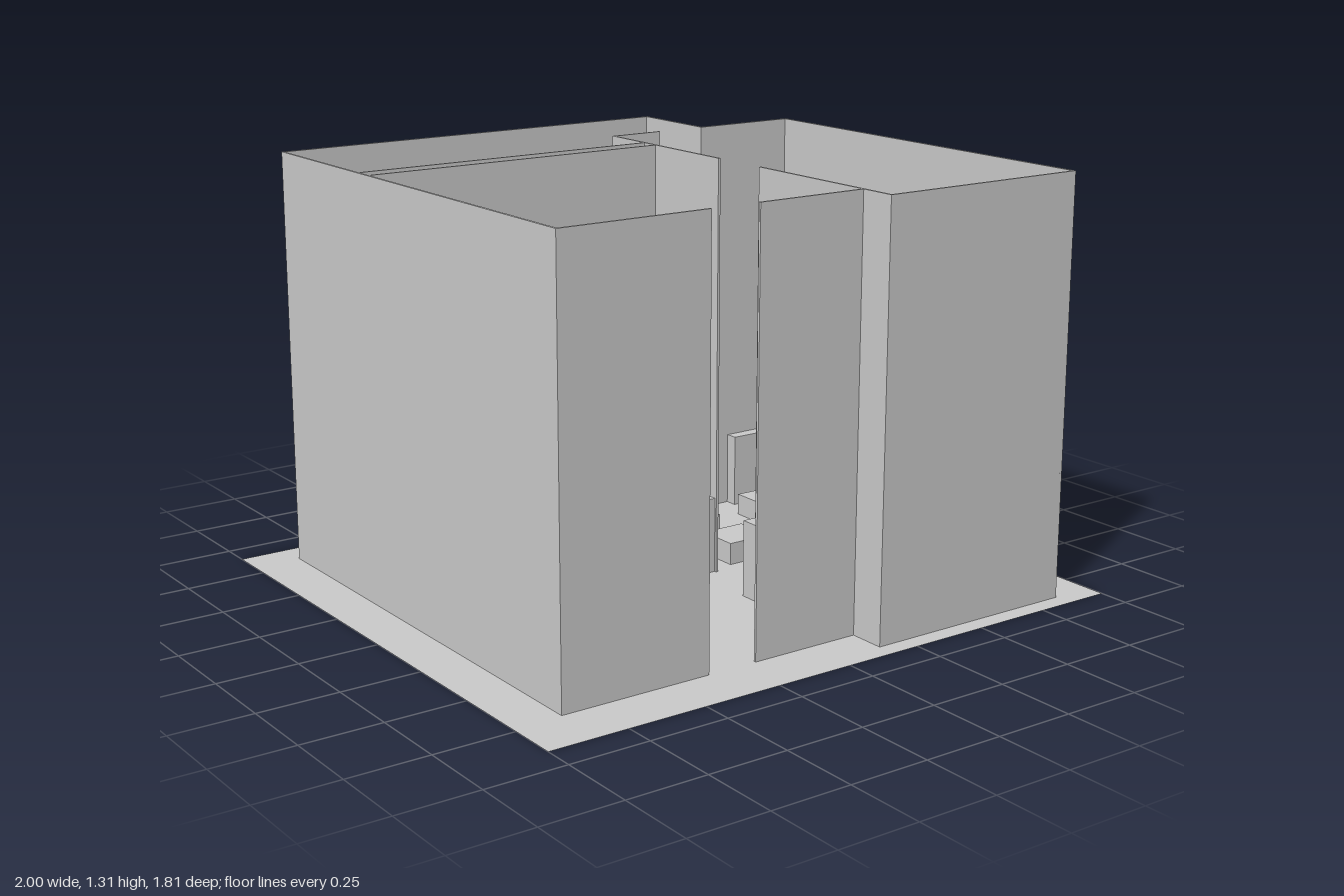
import * as THREE from 'three';

const WALL_H = 1.305, WALL_T = 0.008;
const LOW = 0.07, TALL = 0.24;

export function createModel() {
  const model = new THREE.Group();
  const mat = new THREE.MeshStandardMaterial({ color: 0xcccccc, flatShading: true });
  const sheetMat = new THREE.MeshStandardMaterial({ color: 0xcccccc, side: THREE.DoubleSide });

  // Box standing on the ground between two plan corners
  const block = (name, x0, x1, z0, z1, h, parent = model) => {
    const mesh = new THREE.Mesh(new THREE.BoxGeometry(x1 - x0, h, z1 - z0), mat);
    mesh.position.set((x0 + x1) / 2, h / 2 + 0.001, (z0 + z1) / 2);
    mesh.name = name;
    parent.add(mesh);
  };
  const group = (name) => {
    const g = new THREE.Group();
    g.name = name;
    model.add(g);
    return g;
  };

  // Ground sheet
  const ground = new THREE.Mesh(new THREE.PlaneGeometry(2, 1.81).rotateX(-Math.PI / 2), sheetMat);
  ground.name = 'ground';
  model.add(ground);

  // Walls, each along a plan line, lengthened by half a thickness to close the corners
  const walls = group('walls');
  const t = WALL_T / 2;
  const wallX = (name, z, x0, x1) => block(name, x0 - t, x1 + t, z - t, z + t, WALL_H, walls);
  const wallZ = (name, x, z0, z1) => block(name, x - t, x + t, z0 - t, z1 + t, WALL_H, walls);
  wallZ('rightOuterWall', -0.845, -0.8, 0.73);
  wallX('backWall', -0.8, -0.845, 0.505);
  wallZ('backStepWall', 0.505, -0.8, -0.49);
  wallX('sideRoomBackWall', -0.49, 0.505, 0.855);
  wallX('sideRoomDoorWall', -0.49, 0.16, 0.333);
  wallZ('leftOuterWall', 0.855, -0.49, 0.845);
  wallX('sideRoomFrontWall', 0.845, 0.16, 0.855);
  wallZ('dividerBack', 0.16, -0.49, 0.065);
  wallZ('dividerFront', 0.16, 0.27, 0.845);
  wallX('frontWallRight', 0.73, -0.845, -0.368);
  wallX('frontWallLeft', 0.73, -0.198, 0.16);
  wallX('partitionBack', -0.32, -0.845, 0.16);
  wallX('partitionFront', -0.26, -0.845, 0.16);

  // Tables: two columns of four in the side room, one large in the main room
  const tables = group('tables');
  for (const x of [0.235, 0.567])
    for (const z of [-0.355, -0.1, 0.303, 0.56])
      block('smallTable', x, x + 0.15, z, z + 0.14, LOW, tables);
  block('largeTable', -0.435, -0.198, 0.058, 0.287, LOW, tables);

  // Low cabinets set against the walls of the side room
  const cabinets = group('wallCabinets');
  for (const z of [-0.33, -0.02, 0.287, 0.598])
    block('leftWallCabinet', 0.815, 0.855, z, z + 0.15, TALL, cabinets);
  for (const x of [0.28, 0.545])
    block('frontWallCabinet', x, x + 0.15, 0.81, 0.845, TALL, cabinets);
  block('backWallCabinet', 0.62, 0.77, -0.488, -0.445, TALL, cabinets);

  // Cabinets along the double partition
  for (const x of [-0.525, -0.29, -0.06]) {
    block('partitionCabinetBack', x, x + 0.135, -0.333, -0.313, TALL, cabinets);
    block('partitionCabinetFront', x, x + 0.135, -0.28, -0.24, TALL, cabinets);
  }

  // Main room counters
  const counters = group('counters');
  block('dividerCounterBack', 0.095, 0.16, -0.285, 0.062, TALL, counters);
  block('dividerCounterFront', 0.095, 0.16, 0.287, 0.63, TALL, counters);
  block('cornerCounter', -0.085, 0.16, 0.63, 0.73, TALL, counters);
  block('frontCounter', -0.733, -0.388, 0.662, 0.73, TALL, counters);

  // Back room furniture
  const back = group('backRoomFurniture');
  block('sideCounter', -0.838, -0.737, -0.797, -0.51, TALL, back);
  block('wideCounter', -0.53, -0.32, -0.797, -0.51, TALL, back);
  for (const z of [-0.787, -0.59]) block('bench', -0.17, 0.02, z, z + 0.086, TALL, back);
  block('backCounter', 0.16, 0.505, -0.797, -0.695, TALL, back);

  return model;
}
